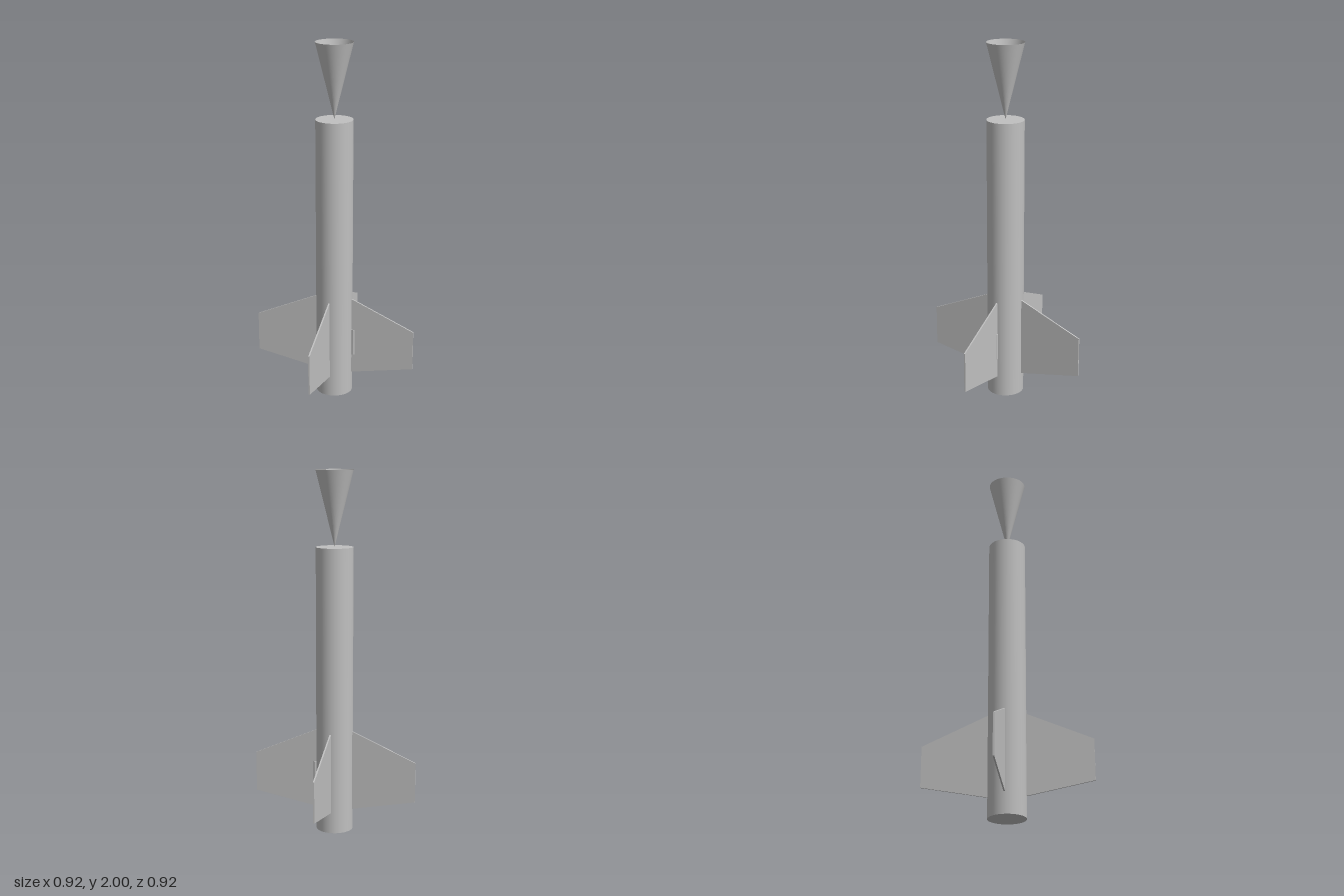
import * as THREE from 'three';

const BODY_R = 0.102;
const BODY_H = 1.588;

export function createModel() {
  const model = new THREE.Group();
  model.name = 'finnedRocket';

  const grey = new THREE.MeshStandardMaterial({ color: 0xc0c0c0, side: THREE.DoubleSide });
  grey.name = 'plain grey';

  const add = (name, geometry, x = 0, y = 0) => {
    const mesh = new THREE.Mesh(geometry, grey);
    mesh.name = name;
    mesh.position.set(x, y, 0);
    model.add(mesh);
    return mesh;
  };

  // Straight body tube, closed at both ends
  add('bodyTube', new THREE.CylinderGeometry(BODY_R, BODY_R, BODY_H, 64), 0, BODY_H / 2);

  // Hollow cone balanced on its point, open at the top
  const coneH = 2 - BODY_H;
  add('noseCone', new THREE.CylinderGeometry(BODY_R, 0, coneH, 64, 1, true), 0, BODY_H + coneH / 2);

  // Launch lug on the left side of the body
  add('launchLug', new THREE.CylinderGeometry(0.01, 0.01, 0.152, 24), 0.112, 0.305);

  // Four tapered fins around the tail
  const thickness = 0.008;
  const outline = new THREE.Shape([
    new THREE.Vector2(BODY_R - 0.002, 0.117),
    new THREE.Vector2(0.458, 0.185),
    new THREE.Vector2(0.458, 0.41),
    new THREE.Vector2(BODY_R - 0.002, 0.568),
  ]);
  const finGeometry = new THREE.ExtrudeGeometry(outline, { depth: thickness, bevelEnabled: false });
  finGeometry.translate(0, 0, -thickness / 2);
  ['leftFin', 'backFin', 'rightFin', 'frontFin'].forEach((name, i) => {
    add(name, finGeometry).rotation.y = (i * Math.PI) / 2;
  });

  return model;
}
